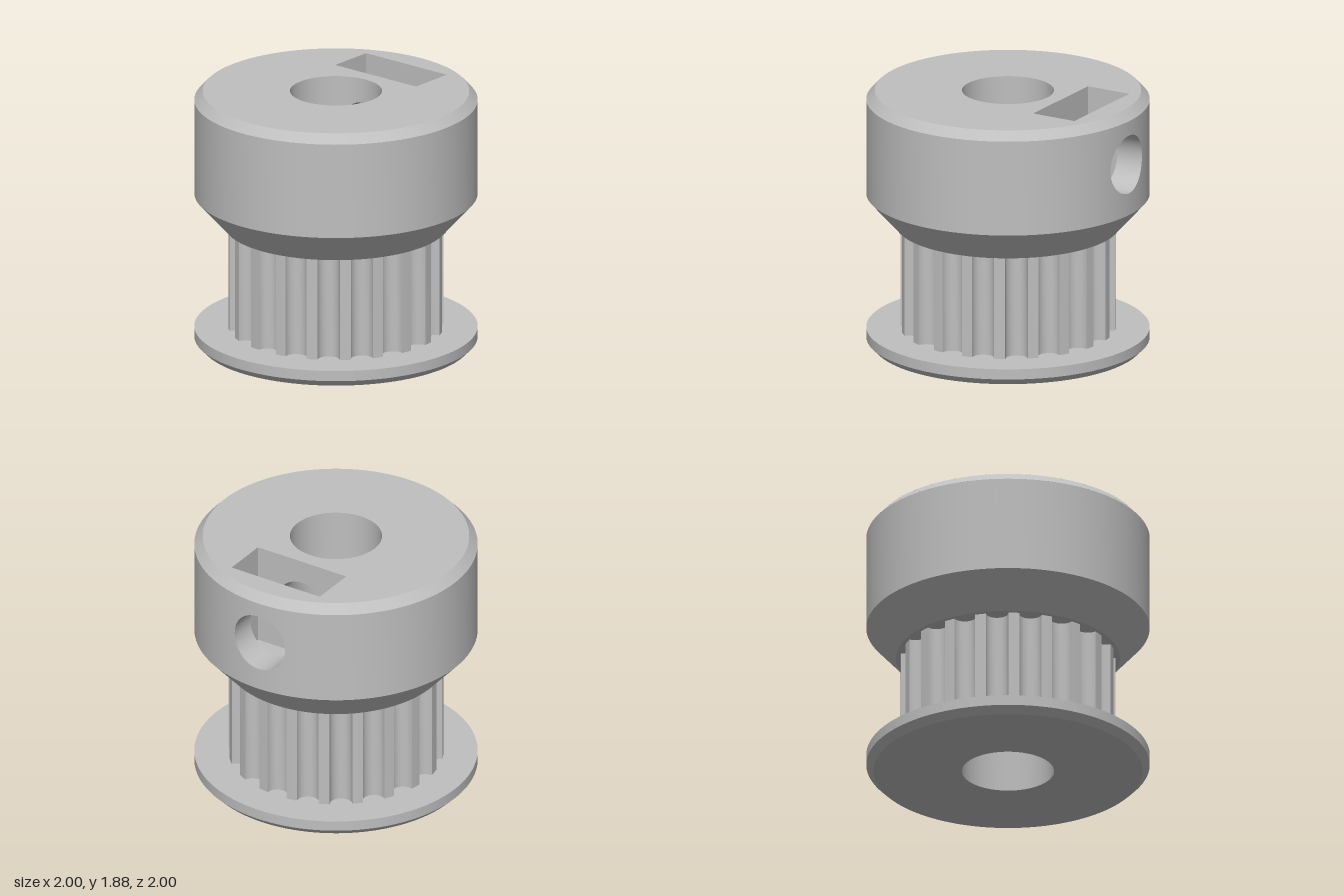
import * as THREE from 'three';
import { toCreasedNormals } from 'three/addons/utils/BufferGeometryUtils.js';

const SEG = 128;
const BORE = 0.325;                       // shaft hole radius
const HOLE = 0.213, HOLE_Y = 1.49;        // set-screw hole
const HUB_Y0 = 1.115, HUB_Y1 = 1.81, TOP = 1.875;
const POCKET = { x0: 0.435, x1: 0.775, z: 0.372, y: 1.12 };

// Surface through closed loops of points
function loft(loops, flip = false) {
  const n = loops[0].length, index = [];
  for (let j = 0; j < loops.length - 1; j++) {
    for (let i = 0; i < n; i++) {
      const k = (i + 1) % n;
      const a = j * n + i, b = j * n + k, c = a + n, d = b + n;
      if (flip) index.push(a, c, b, b, c, d);
      else index.push(a, b, c, b, d, c);
    }
  }
  const geo = new THREE.BufferGeometry().setFromPoints(loops.flat());
  geo.setIndex(index);
  geo.computeVertexNormals();
  return geo;
}

function ring(fn, n = 64) {
  return Array.from({ length: n }, (_, i) => fn((i / n) * Math.PI * 2));
}

function lathe(points, start = 0, length = Math.PI * 2) {
  const pts = points.map(([r, y]) => new THREE.Vector2(r, y));
  return toCreasedNormals(new THREE.LatheGeometry(pts, SEG, start, length), 0.4);
}

// Piece of cylinder wall around +x, spanning +-half radians, pierced by the screw hole
function piercedPatch(R, half, y0, y1, flip) {
  const steps = 8, loops = [];
  for (let j = 0; j <= steps; j++) {
    const t = j / steps;
    loops.push(ring((q) => {
      const c = Math.cos(q), s = Math.sin(q), m = Math.max(Math.abs(c), Math.abs(s));
      const phi = THREE.MathUtils.lerp(Math.asin((HOLE * c) / R), (half * c) / m, t);
      const edge = HOLE_Y + (s / m) * (s > 0 ? y1 - HOLE_Y : HOLE_Y - y0);
      const y = THREE.MathUtils.lerp(HOLE_Y + HOLE * s, edge, t);
      return new THREE.Vector3(R * Math.cos(phi), y, R * Math.sin(phi));
    }));
  }
  return loft(loops, flip);
}

// Screw hole lining between two x positions given as functions of z
function tunnel(xa, xb) {
  return loft([xa, xb].map((fx) => ring((q) => {
    const z = HOLE * Math.cos(q);
    return new THREE.Vector3(fx(z), HOLE_Y + HOLE * Math.sin(q), z);
  })));
}

function circlePath(r, x = 0, y = 0) {
  return new THREE.Path().absarc(x, y, r, 0, Math.PI * 2, true);
}

function rectPoints(x0, y0, x1, y1) {
  return [[x0, y0], [x1, y0], [x1, y1], [x0, y1]].map((p) => new THREE.Vector2(...p));
}

export function createModel() {
  const model = new THREE.Group();
  model.name = 'timingPulley';
  const metal = new THREE.MeshStandardMaterial({ color: 0xbfbfbf, side: THREE.DoubleSide });
  metal.name = 'grey metal';
  const add = (name, geo, parent = model) => {
    const mesh = new THREE.Mesh(geo, metal);
    mesh.name = name;
    parent.add(mesh);
    return mesh;
  };
  const group = (name) => {
    const g = new THREE.Group();
    g.name = name;
    model.add(g);
    return g;
  };

  // Bottom flange with the lower bore
  add('flange', lathe([[BORE, HUB_Y0], [BORE, 0], [0.95, 0], [1, 0.05], [1, 0.125], [0.6, 0.125]]));

  // Toothed barrel: 20 round grooves
  const R = 0.76, teeth = 20, halfGroove = THREE.MathUtils.degToRad(6.05);
  const chordX = R * Math.cos(halfGroove), grooveR = R * Math.sin(halfGroove);
  const outline = [];
  for (let i = 0; i < teeth; i++) {
    const a = (i / teeth) * Math.PI * 2;
    for (let k = 0; k <= 12; k++) {
      const q = -Math.PI / 2 + (k / 12) * Math.PI;
      outline.push(new THREE.Vector2(chordX - grooveR * Math.cos(q), grooveR * Math.sin(q))
        .rotateAround(new THREE.Vector2(), a));
    }
    const mid = a + Math.PI / teeth;
    outline.push(new THREE.Vector2(R * Math.cos(mid), R * Math.sin(mid)));
  }
  const gear = new THREE.Shape(outline);
  gear.holes.push(circlePath(0.5));
  const barrel = new THREE.ExtrudeGeometry(gear, { depth: 0.755, bevelEnabled: false, curveSegments: 32 });
  barrel.rotateX(-Math.PI / 2);
  add('toothedBarrel', toCreasedNormals(barrel, 0.5)).position.y = 0.125;

  // Hub: cone, wall, chamfer and top face
  const hub = group('hub');
  add('hubCone', lathe([[0.5, 0.88], [0.79, 0.88], [1, HUB_Y0]]), hub);
  const a = 0.32;
  add('hubWall', lathe([[1, HUB_Y0], [1, HUB_Y1]], Math.PI / 2 + a, 2 * Math.PI - 2 * a), hub);
  add('hubWallAroundScrew', piercedPatch(1, a, HUB_Y0, HUB_Y1, false), hub);
  add('hubChamfer', lathe([[1, HUB_Y1], [0.94, TOP]]), hub);
  const face = new THREE.Shape().absarc(0, 0, 0.94, 0, Math.PI * 2, false);
  face.holes.push(circlePath(BORE),
    new THREE.Path(rectPoints(POCKET.x0, -POCKET.z, POCKET.x1, POCKET.z)));
  add('hubTop', new THREE.ShapeGeometry(face, SEG).rotateX(-Math.PI / 2).translate(0, TOP, 0), hub);

  // Upper bore
  const b = 1.1;
  add('boreWall', lathe([[BORE, TOP], [BORE, HUB_Y0]], Math.PI / 2 + b, 2 * Math.PI - 2 * b), hub);
  add('boreWallAroundScrew', piercedPatch(BORE, b, HUB_Y0, TOP, true), hub);

  // Nut pocket
  const pocket = group('nutPocket');
  const width = POCKET.x1 - POCKET.x0, midX = (POCKET.x0 + POCKET.x1) / 2;
  const depth = TOP - POCKET.y, midY = (TOP + POCKET.y) / 2;
  for (const s of [1, -1]) {
    const wall = new THREE.Shape(rectPoints(-POCKET.z, POCKET.y, POCKET.z, TOP));
    wall.holes.push(circlePath(HOLE, 0, HOLE_Y));
    add(s > 0 ? 'pocketInnerWall' : 'pocketOuterWall', new THREE.ShapeGeometry(wall, 32)
      .rotateY((s * Math.PI) / 2).translate(s > 0 ? POCKET.x0 : POCKET.x1, 0, 0), pocket);
    add('pocketEndWall', new THREE.PlaneGeometry(width, depth)
      .rotateY(s > 0 ? Math.PI : 0).translate(midX, midY, s * POCKET.z), pocket);
  }
  add('pocketFloor', new THREE.PlaneGeometry(width, 2 * POCKET.z)
    .rotateX(-Math.PI / 2).translate(midX, POCKET.y, 0), pocket);

  // Set-screw hole, from the rim to the pocket and on to the bore
  const screw = group('screwHole');
  add('outerScrewHole', tunnel(() => POCKET.x1, (z) => Math.sqrt(1 - z * z)), screw);
  add('innerScrewHole', tunnel((z) => Math.sqrt(BORE * BORE - z * z), () => POCKET.x0), screw);

  return model;
}
